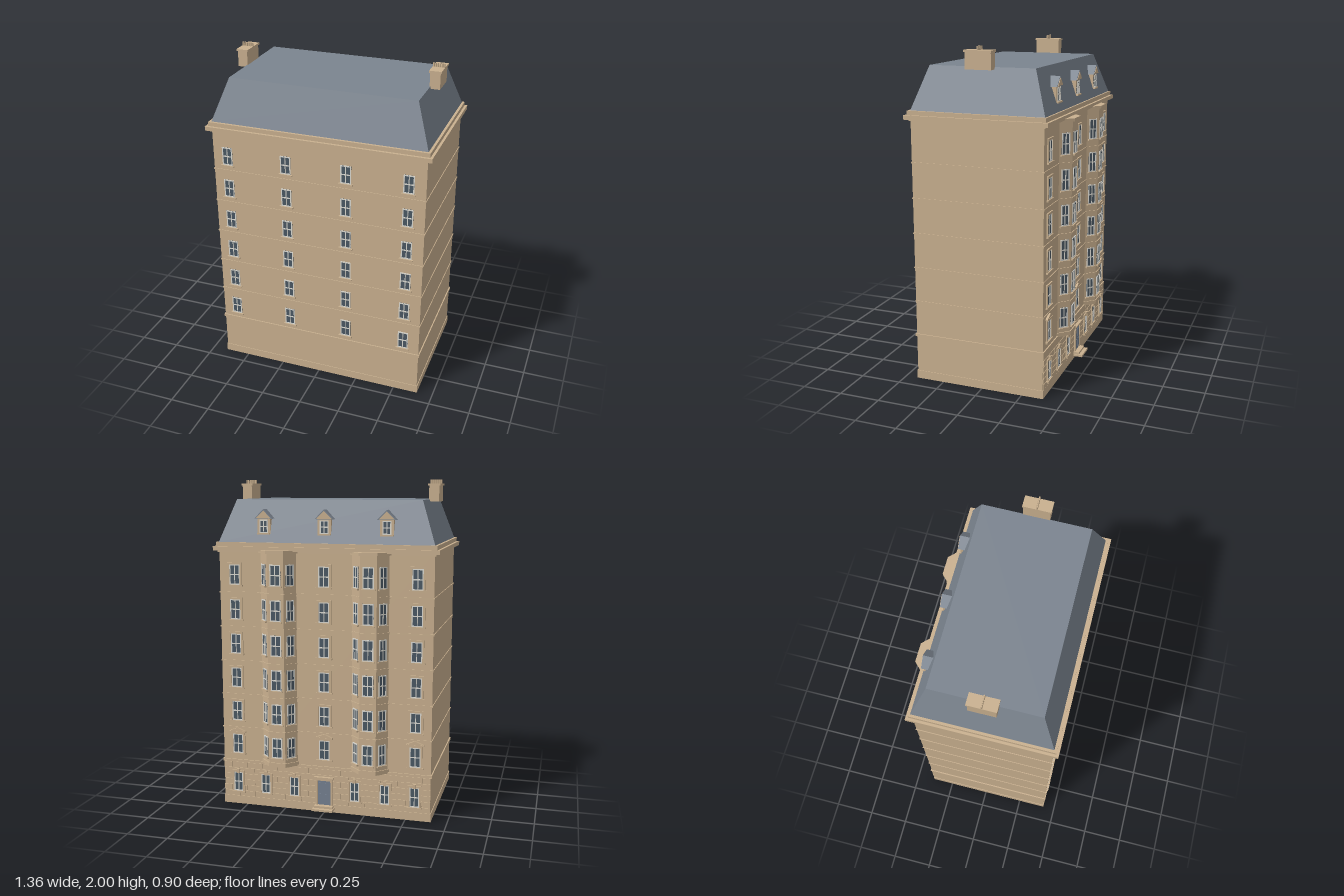
import * as THREE from 'three';

const mat = (name, color, side = THREE.FrontSide) => {
  const m = new THREE.MeshStandardMaterial({ color, side });
  m.name = name;
  return m;
};

export function createModel() {
  const stone = mat('sandstone', 0xc9b08f);
  const slate = mat('slate', 0x7b848f);
  const glass = mat('window glass', 0x4a5864);
  const white = mat('painted frame', 0xdcdad2);
  const doorPaint = mat('door paint', 0x758090);
  const model = new THREE.Group();
  model.name = 'townhouse';

  const add = (parent, name, geo, m) => {
    const mesh = new THREE.Mesh(geo, m);
    mesh.name = name;
    parent.add(mesh);
    return mesh;
  };
  // box given by its minimum and maximum on each axis
  const box = (parent, name, m, x0, x1, y0, y1, z0, z1) => {
    const mesh = add(parent, name, new THREE.BoxGeometry(x1 - x0, y1 - y0, z1 - z0), m);
    mesh.position.set((x0 + x1) / 2, (y0 + y1) / 2, (z0 + z1) / 2);
    return mesh;
  };
  const group = (name, x, y, z, ry = 0) => {
    const g = new THREE.Group();
    g.name = name;
    g.position.set(x, y, z);
    g.rotation.y = ry;
    model.add(g);
    return g;
  };
  // triangular prism facing +z
  const prism = (parent, name, m, half, y0, y1, z0, z1) => {
    const s = new THREE.Shape([[-half, y0], [half, y0], [0, y1]].map(p => new THREE.Vector2(...p)));
    const mesh = add(parent, name, new THREE.ExtrudeGeometry(s, { depth: z1 - z0, bevelEnabled: false }), m);
    mesh.position.z = z0;
    return mesh;
  };

  // main block, plinth, string courses and cornice
  const X = 0.65, ZB = -0.38, ZF = 0.42;
  const band = (name, m, y0, y1, out) => box(model, name, m, -X - out, X + out, y0, y1, ZB - out, ZF + out);
  band('walls', stone, 0, 1.6, 0);
  band('plinth', stone, 0, 0.05, 0.004);
  const courses = [0.28, 0.495, 0.705, 0.915, 1.125, 1.335];
  courses.forEach((y, i) => band('stringCourse', stone, y - (i ? 0.004 : 0.008), y + (i ? 0.004 : 0.008), i ? 0.004 : 0.007));
  band('corniceFrieze', stone, 1.575, 1.585, 0.008);
  band('corniceLower', stone, 1.585, 1.61, 0.03);
  band('corniceUpper', stone, 1.61, 1.635, 0.015);

  // hipped mansard with a flat top
  const roof = new THREE.BoxGeometry(2, 2, 2);
  const p = roof.attributes.position;
  for (let i = 0; i < p.count; i++) {
    const top = p.getY(i) > 0, front = p.getZ(i) > 0;
    p.setXYZ(i, Math.sign(p.getX(i)) * (top ? 0.562 : 0.65), top ? 1.885 : 1.635,
      front ? (top ? 0.335 : 0.42) : (top ? -0.3 : -0.385));
  }
  roof.computeVertexNormals();
  add(model, 'roof', roof, slate);

  // sash window facing +z, its origin at the bottom centre
  const sash = (x, y, z, ry, w, h, { surround = 0, sill = 0.01, hood = '' } = {}) => {
    const g = group('window', x, y, z, ry), a = w / 2, t = 0.0065;
    if (surround) {
      const s = surround;
      for (const d of [-1, 1]) box(g, 'jamb', stone, d * (a + s / 2) - s / 2, d * (a + s / 2) + s / 2, 0, h, 0, 0.008);
      box(g, 'lintel', stone, -a - s, a + s, h, h + s, 0, 0.008);
    }
    box(g, 'glass', glass, -a, a, 0, h, 0, 0.002);
    for (const d of [-1, 0, 1]) {
      const c = d * (a - t / 2), b = d ? t / 2 : t / 2.6;
      box(g, 'stile', white, c - b, c + b, 0, h, 0, 0.005);
    }
    for (const c of [t / 2, h * 0.5, h - t / 2]) box(g, 'rail', white, -a, a, c - t / 2, c + t / 2, 0, 0.0045);
    box(g, 'sill', stone, -a - sill, a + sill, -0.009, 0, 0, 0.012);
    if (hood === 'pediment') {
      box(g, 'hood', stone, -a - 0.02, a + 0.02, h + surround, h + surround + 0.007, 0, 0.016);
      prism(g, 'pediment', stone, a + 0.02, h + surround + 0.007, h + surround + 0.03, 0, 0.014);
    }
    if (hood === 'keystone') box(g, 'keystone', stone, -0.009, 0.009, h - 0.004, h + 0.022, 0, 0.012);
    return g;
  };

  // plain side: four columns of six windows
  for (let f = 0; f < 6; f++)
    for (const x of [-0.56, -0.19, 0.18, 0.55]) sash(x, 0.32 + 0.21 * f, ZF, 0, 0.064, 0.112);

  // street side: three flat columns between the bays
  for (let f = 0; f < 6; f++)
    for (const x of [-0.555, 0, 0.555])
      sash(x, 0.33 + 0.21 * f, ZB, Math.PI, 0.066, 0.122, { surround: 0.012, sill: 0.017, hood: f ? '' : 'pediment' });

  // canted bays
  const bayPart = (name, cx, y0, y1, o) => {
    const pts = [[-0.11 - o * 1.4, 0.37], [0.11 + o * 1.4, 0.37], [0.11 + o * 1.4, 0.38], [0.05 + o * 0.4, 0.44 + o],
      [-0.05 - o * 0.4, 0.44 + o], [-0.11 - o * 1.4, 0.38]].map(q => new THREE.Vector2(...q));
    const geo = new THREE.ExtrudeGeometry(new THREE.Shape(pts), { depth: y1 - y0, bevelEnabled: false });
    add(model, name, geo.rotateX(-Math.PI / 2).translate(cx, y0, 0), stone);
  };
  for (const cx of [-0.28, 0.28]) {
    bayPart('bayWall', cx, 0.285, 1.585, 0);
    bayPart('bayBase', cx, 0.28, 0.305, 0.006);
    bayPart('bayCap', cx, 1.575, 1.592, 0.014);
    courses.slice(1).forEach(y => bayPart('bayCourse', cx, y - 0.005, y + 0.005, 0.005));
    for (let f = 0; f < 6; f++) {
      const y = 0.335 + 0.21 * f;
      sash(cx, y, -0.44, Math.PI, 0.066, 0.126, { sill: 0.008 });
      for (const d of [-1, 1]) sash(cx + d * 0.08, y, -0.41, d * Math.PI * 0.75, 0.052, 0.126, { sill: 0.008 });
    }
  }

  // rusticated ground floor in staggered blocks
  const rows = 6, rowH = 0.037, len = 0.1;
  for (let r = 0; r < rows; r++) {
    const y = 0.052 + r * rowH;
    for (let x = -X - (r % 2) * len / 2; x < X - 0.001; x += len) {
      const x0 = Math.max(x, -X), x1 = Math.min(x + len - 0.004, X);
      box(model, 'stoneBlock', stone, x0, x1, y, y + rowH - 0.004, ZB - 0.005, ZB);
    }
  }
  for (const x of [0.19, 0.375, 0.555])
    for (const d of [-1, 1])
      sash(d * x, 0.085, ZB - 0.005, Math.PI, 0.058, 0.122, { surround: 0.011, sill: 0.014, hood: 'keystone' });

  // entrance with steps
  const door = group('entrance', 0, 0, ZB - 0.005, Math.PI);
  box(door, 'door', doorPaint, -0.04, 0.04, 0.045, 0.2, 0, 0.004);
  for (const d of [-1, 1]) {
    box(door, 'doorJamb', stone, d * 0.046 - 0.006, d * 0.046 + 0.006, 0.045, 0.212, 0, 0.01);
    for (const y of [0.06, 0.13]) box(door, 'doorPanel', doorPaint, d * 0.019 - 0.014, d * 0.019 + 0.014, y, y + 0.055, 0, 0.007);
  }
  box(door, 'doorLintel', stone, -0.052, 0.052, 0.2, 0.215, 0, 0.01);
  box(door, 'doorHood', stone, -0.06, 0.06, 0.215, 0.224, 0, 0.02);
  box(door, 'lowerStep', stone, -0.064, 0.064, 0.02, 0.033, 0, 0.058);
  box(door, 'upperStep', stone, -0.058, 0.058, 0.033, 0.046, 0, 0.035);

  // dormers
  for (const x of [-0.37, 0, 0.37]) {
    const d = group('dormer', x, 0, 0, Math.PI);
    box(d, 'dormerWall', stone, -0.04, 0.04, 1.675, 1.776, 0.31, 0.368);
    prism(d, 'dormerRoof', slate, 0.057, 1.774, 1.83, 0.31, 0.376);
    prism(d, 'dormerGable', stone, 0.046, 1.777, 1.821, 0.376, 0.379);
    sash(x, 1.69, -0.368, Math.PI, 0.052, 0.078, { sill: 0.012 });
  }

  // chimneys with a row of pots
  for (const d of [-1, 1]) {
    const c = group('chimney', d * 0.588, 0, 0.017);
    box(c, 'chimneyStack', stone, -0.03, 0.03, 1.872, 1.966, -0.078, 0.078);
    box(c, 'chimneyCap', stone, -0.036, 0.036, 1.966, 1.978, -0.083, 0.083);
    for (let i = 0; i < 6; i++) {
      const pot = add(c, 'chimneyPot', new THREE.CylinderGeometry(0.005, 0.006, 0.024, 10), stone);
      pot.position.set(-0.03 + i * 0.012, 1.988, 0);
    }
  }
  return model;
}
